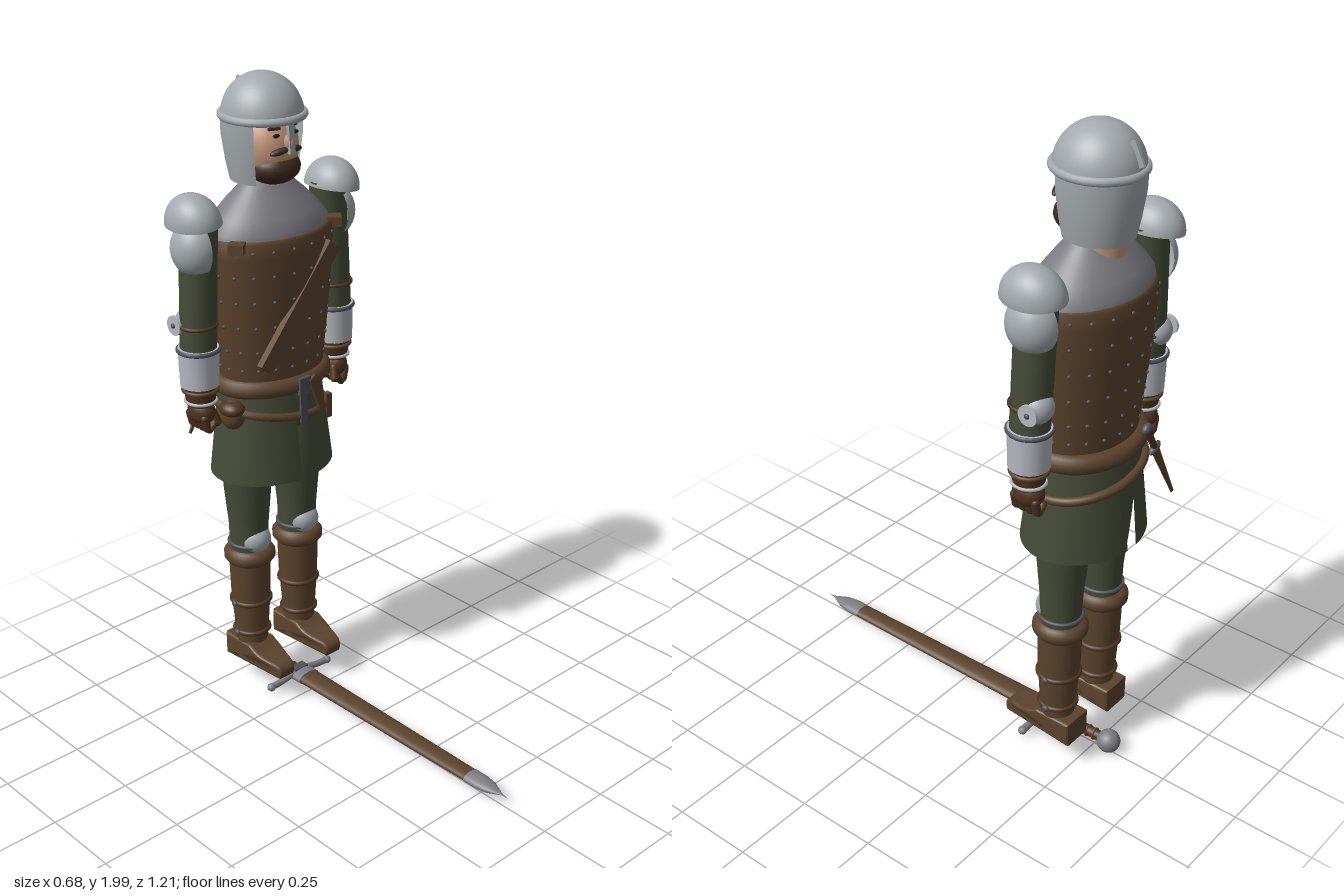
import * as THREE from 'three';
import { mergeGeometries } from 'three/addons/utils/BufferGeometryUtils.js';

const material = (name, color, side = THREE.FrontSide) => {
  const m = new THREE.MeshStandardMaterial({ color, side });
  m.name = name;
  return m;
};

export function createModel() {
  const model = new THREE.Group();
  model.name = 'armouredSoldier';
  const body = new THREE.Group();
  body.name = 'body';
  body.position.z = -0.428;
  model.add(body);

  const steel = material('steel', 0xa3a9ad, THREE.DoubleSide);
  const paleSteel = material('paleSteel', 0xb4b8bf, THREE.DoubleSide);
  const mail = material('mail', 0x7d7d83);
  const iron = material('darkIron', 0x50505a);
  const leather = material('leather', 0x5c432d);
  const glove = material('darkLeather', 0x503420);
  const cloth = material('greenCloth', 0x454b38, THREE.DoubleSide);
  const skin = material('skin', 0xc0957a);
  const hair = material('hair', 0x3f2b1c);
  const eyeDark = material('eyeDark', 0x1c1714);

  // Shared helpers
  const add = (parent, name, geo, mat, p = [0, 0, 0], s = [1, 1, 1], r = [0, 0, 0]) => {
    const m = new THREE.Mesh(geo, mat);
    m.name = name;
    m.position.set(...p);
    m.scale.set(...s);
    m.rotation.set(...r);
    parent.add(m);
    return m;
  };
  const sphere = (w = 28, h = 18) => new THREE.SphereGeometry(1, w, h);
  const box = (x, y, z) => new THREE.BoxGeometry(x, y, z);
  const cyl = (top, bottom, h) => new THREE.CylinderGeometry(top, bottom, h, 28);
  const lathe = (pts, start = 0, len = Math.PI * 2) =>
    new THREE.LatheGeometry(pts.map(p => new THREE.Vector2(...p)), 40, start, len);
  const ringGeo = (rx, rz, tube) => {
    const pts = [];
    for (let i = 0; i < 24; i++) {
      const a = i / 24 * Math.PI * 2;
      pts.push(new THREE.Vector3(Math.sin(a) * rx, 0, Math.cos(a) * rz));
    }
    return new THREE.TubeGeometry(new THREE.CatmullRomCurve3(pts, true), 48, tube, 10, true);
  };
  const ring = (parent, name, mat, rx, rz, tube, p, r) =>
    add(parent, name, ringGeo(rx, rz, tube), mat, p, [1, 1, 1], r);

  // Helmet: domed skull, rim, open-fronted guard, nasal bar and rear fin
  const head = new THREE.Group();
  head.name = 'head';
  body.add(head);
  add(head, 'helmetDome', new THREE.SphereGeometry(1, 36, 16, 0, Math.PI * 2, 0, Math.PI / 2),
    steel, [0, 1.875, 0], [0.119, 0.125, 0.124]);
  ring(head, 'helmetRim', steel, 0.118, 0.122, 0.012, [0, 1.88, 0]);
  add(head, 'helmetGuard', lathe([[0.095, 1.69], [0.105, 1.74], [0.116, 1.82], [0.117, 1.88]],
    0.92, Math.PI * 2 - 1.84), mail.clone(), [0, 0, -0.005], [1, 1, 1.05]).material = steel;
  add(head, 'nasalBar', box(0.02, 0.1, 0.012), steel, [0, 1.835, 0.122], [1, 1, 1], [-0.06, 0, 0]);
  add(head, 'helmetFin', box(0.008, 0.07, 0.04), steel, [0, 1.93, -0.103], [1, 1, 1], [0.45, 0, 0]);

  // Face and beard
  add(head, 'face', sphere(), skin, [0, 1.79, 0.012], [0.092, 0.115, 0.1]);
  add(head, 'neck', cyl(0.068, 0.075, 0.14), skin, [0, 1.68, -0.01]);
  add(head, 'nose', sphere(16, 10), skin, [0, 1.815, 0.113], [0.014, 0.026, 0.018]);
  add(head, 'beard', sphere(), hair, [0, 1.735, 0.042], [0.08, 0.053, 0.08]);
  for (const s of [-1, 1]) {
    add(head, 'moustache', sphere(14, 8), hair, [s * 0.028, 1.793, 0.107], [0.033, 0.01, 0.012], [0, s * 0.3, -s * 0.2]);
    add(head, 'eye', sphere(12, 8), eyeDark, [s * 0.035, 1.838, 0.1], [0.013, 0.006, 0.005]);
    add(head, 'eyebrow', box(0.035, 0.008, 0.008), hair, [s * 0.036, 1.857, 0.092], [1, 1, 1], [0, s * 0.35, 0]);
  }

  // Torso: mail collar over a studded leather coat
  const torso = new THREE.Group();
  torso.name = 'torso';
  torso.position.z = 0.01;
  body.add(torso);
  const depth = 0.74;
  const coat = [[0.17, 1.06], [0.178, 1.12], [0.187, 1.2], [0.197, 1.28], [0.208, 1.4], [0.215, 1.5], [0.213, 1.545]];
  add(torso, 'leatherCoat', lathe([...coat, [0.2, 1.552]]), leather, [0, 0, 0], [1, 1, depth]);
  add(torso, 'mailCollar', lathe([[0.206, 1.535], [0.203, 1.565], [0.175, 1.6], [0.135, 1.64], [0.095, 1.675], [0.075, 1.7], [0.066, 1.7]]),
    mail, [0, 0, -0.003], [1, 1, 0.7]);
  const radiusAt = y => {
    let i = 1;
    while (i < coat.length - 1 && coat[i][0] && coat[i][1] < y) i++;
    const [a, b] = [coat[i - 1], coat[i]];
    return a[0] + (b[0] - a[0]) * (y - a[1]) / (b[1] - a[1]);
  };
  const studs = [];
  [1.145, 1.205, 1.285, 1.365, 1.445, 1.52].forEach(y => {
    for (let i = 0; i < 20; i++) {
      const a = (i + 0.5) / 20 * Math.PI * 2, r = radiusAt(y);
      studs.push(new THREE.SphereGeometry(0.0055, 8, 6).translate(Math.sin(a) * r, y, Math.cos(a) * r * depth));
    }
  });
  add(torso, 'coatStuds', mergeGeometries(studs), iron);
  add(torso, 'chestStrap', box(0.425, 0.05, 0.022), leather, [-0.012, 1.335, 0.147], [1, 1, 1], [0, 0, 0.87]);
  for (const s of [-1, 1])
    add(torso, 'shoulderTab', box(0.045, 0.03, 0.06), leather, [s * 0.18, 1.54, 0.08], [1, 1, 1], [0, s * 0.9, 0]);

  // Belts, buckle and hanging pieces
  const belts = new THREE.Group();
  belts.name = 'belts';
  body.add(belts);
  ring(belts, 'mainBelt', leather, 0.173, 0.13, 0.029, [0, 1.082, 0.005]);
  ring(belts, 'lowBelt', leather, 0.185, 0.148, 0.013, [0, 0.99, 0], [0.08, 0, -0.14]);
  add(belts, 'buckle', box(0.042, 0.055, 0.012), iron, [0, 1.08, 0.162]);
  add(belts, 'buckleTail', box(0.026, 0.12, 0.008), iron, [0, 1.02, 0.157]);
  add(belts, 'strapTail', box(0.028, 0.13, 0.01), leather, [0.052, 1.04, 0.16], [1, 1, 1], [0, 0.2, 0.4]);
  add(belts, 'pouch', sphere(), leather, [-0.177, 1.0, 0.035], [0.036, 0.048, 0.042]);
  add(belts, 'pouchFlap', sphere(), glove, [-0.18, 1.02, 0.038], [0.037, 0.026, 0.043]);
  for (const z of [0.088, 0.03])
    add(belts, 'beltLoop', box(0.022, 0.08, 0.02), leather, [0.175 - z * 0.2, 0.945, z]);

  // Split skirt and hips
  for (const s of [0, 1])
    add(body, 'skirtPanel', lathe([[0.205, 0.775], [0.197, 0.84], [0.183, 0.95], [0.17, 1.06]],
      s ? Math.PI + 0.1 : 0.1, Math.PI - 0.2), cloth, [0, 0, 0.002], [1, 1, 0.81]);
  add(body, 'hips', sphere(), cloth, [0, 0.99, 0], [0.165, 0.12, 0.12]);

  // Boot foot: side profile extruded, narrowed towards the toe
  const footShape = new THREE.Shape();
  footShape.moveTo(-0.066, 0.105);
  footShape.lineTo(0.16, 0.105);
  footShape.quadraticCurveTo(0.172, 0.128, 0.14, 0.134);
  footShape.quadraticCurveTo(0.08, 0.14, 0.04, 0.165);
  footShape.lineTo(-0.066, 0.165);
  const footGeo = new THREE.ExtrudeGeometry(footShape, {
    depth: 0.084, bevelEnabled: true, bevelSize: 0.01, bevelThickness: 0.01, bevelSegments: 3, steps: 1, curveSegments: 8
  }).translate(0, 0, -0.042).rotateY(-Math.PI / 2);
  const pos = footGeo.attributes.position;
  for (let i = 0; i < pos.count; i++) {
    const z = pos.getZ(i);
    if (z > 0.08) pos.setX(i, pos.getX(i) * (1 - 0.45 * (z - 0.08) / 0.1));
  }
  footGeo.computeVertexNormals();

  for (const s of [-1, 1]) {
    // Legs with knee caps and strapped boots
    const leg = new THREE.Group();
    leg.name = s > 0 ? 'leftLeg' : 'rightLeg';
    leg.position.x = s * 0.1;
    body.add(leg);
    add(leg, 'trouserLeg', lathe([[0.06, 0.48], [0.063, 0.6], [0.074, 0.72], [0.079, 0.8], [0.08, 0.98]]), cloth);
    add(leg, 'kneeCap', sphere(), steel, [0, 0.545, 0.028], [0.051, 0.048, 0.05]);
    ring(leg, 'kneeStrap', iron, 0.062, 0.064, 0.006, [0, 0.53, 0]);
    ring(leg, 'bootCuff', leather, 0.053, 0.056, 0.028, [0, 0.485, 0]);
    add(leg, 'bootShaft', lathe([[0.052, 0.11], [0.05, 0.17], [0.056, 0.25], [0.063, 0.35], [0.066, 0.48]]), leather);
    add(leg, 'foot', footGeo, leather);
    [[0.32, 0.061], [0.21, 0.054]].forEach(([y, r]) => {
      ring(leg, 'bootStrap', glove, r, r, 0.008, [0, y, 0]);
      add(leg, 'bootBuckle', sphere(10, 8), iron, [s * (r + 0.007), y, 0], [0.008, 0.011, 0.012]);
    });

    // Arms: shoulder plates, sleeve, elbow and forearm plates
    const arm = new THREE.Group();
    arm.name = s > 0 ? 'leftArm' : 'rightArm';
    body.add(arm);
    const shoulder = add(arm, 'shoulderPlate', new THREE.SphereGeometry(1, 32, 12, 0, Math.PI * 2, 0, Math.PI / 2),
      steel, [s * 0.264, 1.61, 0], [0.075, 0.088, 0.095]);
    shoulder.rotation.z = -s * 0.12;
    add(arm, 'shoulderLame', new THREE.SphereGeometry(1, 24, 14, s > 0 ? Math.PI / 2 : -Math.PI / 2, Math.PI),
      steel, [s * 0.26, 1.535, 0], [0.072, 0.085, 0.077]);
    add(arm, 'sleeve', cyl(0.056, 0.054, 0.42), cloth, [s * 0.257, 1.425, 0], [1, 1, 1.03], [0, 0, s * 0.05]);
    add(arm, 'elbowPlate', sphere(), steel, [s * 0.272, 1.305, -0.03], [0.045, 0.045, 0.042]);
    add(arm, 'elbowDisc', cyl(0.03, 0.03, 0.008), paleSteel, [s * 0.323, 1.305, -0.035], [1, 1, 1], [0, 0, Math.PI / 2]);
    add(arm, 'elbowRivet', sphere(10, 8), iron, [s * 0.328, 1.305, -0.035], [0.006, 0.008, 0.008]);
    ring(arm, 'elbowStrap', glove, 0.055, 0.056, 0.006, [s * 0.266, 1.305, 0]);
    add(arm, 'forearmPlate', cyl(0.061, 0.058, 0.12), paleSteel, [s * 0.267, 1.175, 0]);
    ring(arm, 'forearmStrap', iron, 0.06, 0.06, 0.007, [s * 0.267, 1.228, 0]);

    // Glove
    const hand = new THREE.Group();
    hand.name = 'glove';
    hand.position.x = s * 0.266;
    arm.add(hand);
    add(hand, 'gloveCuff', cyl(0.053, 0.042, 0.065), glove, [0, 1.085, 0]);
    ring(hand, 'cuffTrim', paleSteel, 0.045, 0.047, 0.005, [0, 1.064, 0]);
    ring(hand, 'cuffStrap', leather, 0.051, 0.051, 0.006, [0, 1.1, 0]);
    add(hand, 'palm', sphere(), glove, [0, 1.03, 0], [0.038, 0.043, 0.048]);
    for (let i = 0; i < 4; i++) {
      const z = (i - 1.5) * 0.023;
      add(hand, 'finger', new THREE.CapsuleGeometry(0.0125, 0.035, 5, 10), glove, [s * 0.012, 1.0, z], [1, 1, 1], [0, 0, -s * 0.25]);
      add(hand, 'fingertip', new THREE.CapsuleGeometry(0.0115, 0.025, 5, 10), glove, [-s * 0.01, 0.985, z], [1, 1, 1], [0, 0, s * 0.8]);
    }
    add(hand, 'thumb', new THREE.CapsuleGeometry(0.013, 0.035, 5, 10), glove, [-s * 0.026, 1.01, 0.03], [1, 1, 1], [-0.3, 0, -s * 0.2]);
  }

  // Dagger hung slantwise behind the belt
  const dagger = new THREE.Group();
  dagger.name = 'dagger';
  dagger.position.set(-0.085, 1.06, -0.165);
  dagger.rotation.z = -0.5;
  body.add(dagger);
  add(dagger, 'daggerSheath', cyl(0.015, 0.006, 0.215), leather, [0, -0.108, 0], [1, 1, 0.6]);
  add(dagger, 'daggerGrip', cyl(0.01, 0.01, 0.09), glove, [0, 0.05, 0]);
  add(dagger, 'daggerGuard', sphere(16, 10), iron, [0, 0.005, 0], [0.026, 0.012, 0.012]);
  add(dagger, 'daggerPommel', sphere(16, 10), iron, [0, 0.098, 0], [0.019, 0.015, 0.013]);

  // Sheathed sword lying along the ground
  const sword = new THREE.Group();
  sword.name = 'sword';
  sword.position.y = 0.043;
  model.add(sword);
  const along = [Math.PI / 2, 0, 0];
  add(sword, 'scabbard', cyl(0.03, 0.039, 0.74), leather, [0, 0, 0.09], [1, 1, 0.45], along);
  add(sword, 'scabbardTip', lathe([[0.031, 0.455], [0.031, 0.5], [0.025, 0.535], [0.013, 0.562], [0.004, 0.58], [0, 0.607]]),
    mail, [0, 0, 0], [1, 1, 0.52], along);
  add(sword, 'scabbardThroat', cyl(0.041, 0.041, 0.035), mail, [0, 0, -0.285], [1, 1, 0.5], along);
  const guard = new THREE.CatmullRomCurve3([[-0.125, -0.008], [-0.08, -0.006], [0, 0.006], [0.08, -0.006], [0.125, -0.008]]
    .map(([x, y]) => new THREE.Vector3(x, y, -0.315)));
  add(sword, 'crossguard', new THREE.TubeGeometry(guard, 24, 0.011, 10), mail);
  for (const s of [-1, 1]) add(sword, 'guardEnd', sphere(14, 10), mail, [s * 0.12, -0.008, -0.315], [0.014, 0.013, 0.014]);
  add(sword, 'guardBlock', box(0.05, 0.044, 0.03), iron, [0, 0, -0.315]);
  add(sword, 'grip', cyl(0.018, 0.016, 0.2), glove, [0, 0, -0.425], [1, 1, 1], along);
  for (let i = 0; i < 7; i++)
    add(sword, 'gripWrap', new THREE.TorusGeometry(0.016, 0.004, 8, 20), leather, [0, 0, -0.35 - i * 0.025]);
  add(sword, 'pommel', sphere(), mail, [0, 0, -0.55], [0.036, 0.036, 0.036]);
  return model;
}
